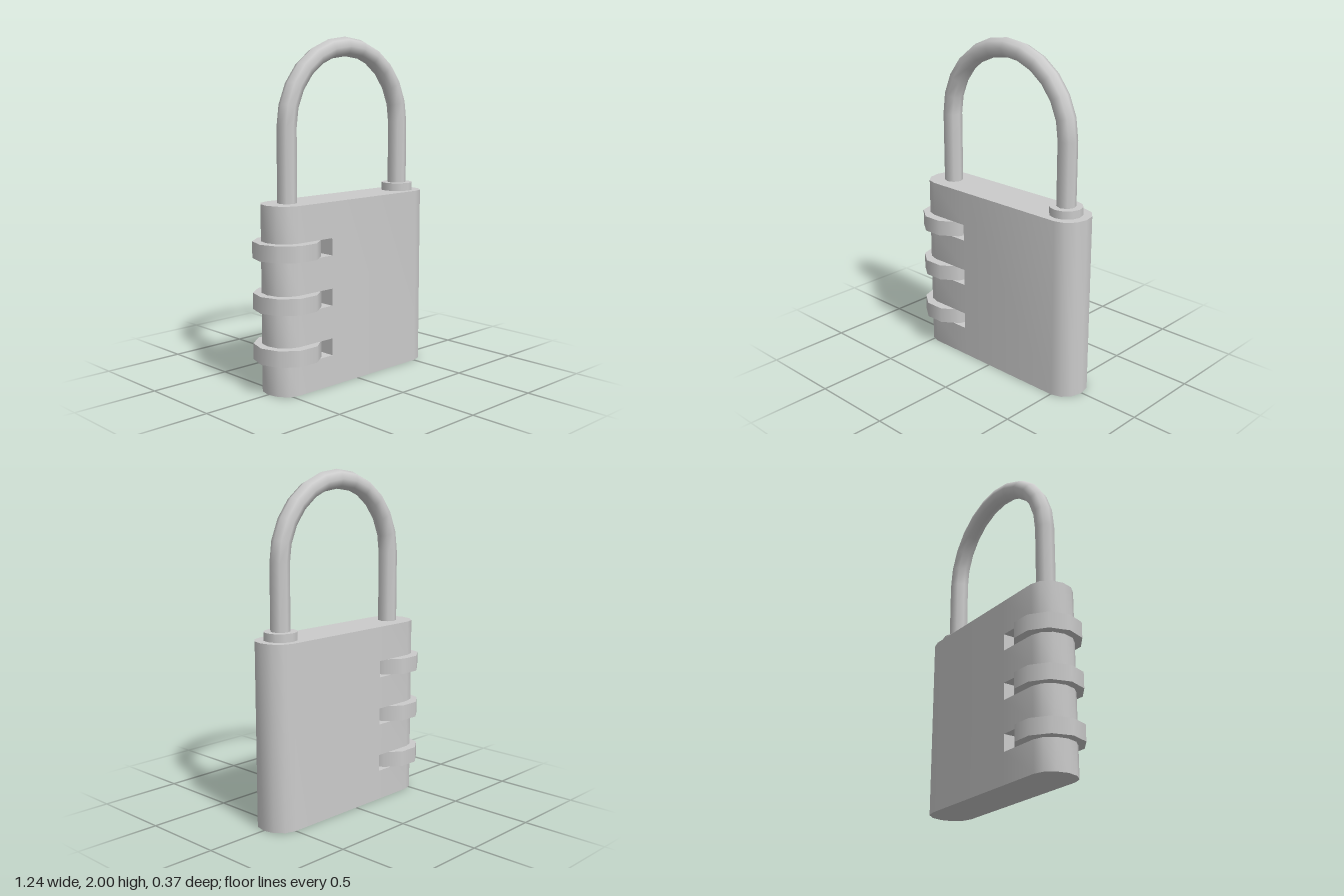
import * as THREE from 'three';
import { toCreasedNormals } from 'three/addons/utils/BufferGeometryUtils.js';

const material = new THREE.MeshStandardMaterial({ color: 0xcccccc });
const BODY_TOP = 1.075, HALF_DEPTH = 0.135;
const DIAL_X = -0.428, DIAL_HEIGHTS = [0.231, 0.524, 0.817];
const SLOT_END = -0.205, SLOT_HALF = 0.05;

function part(name, geometry, x = 0, y = 0, z = 0) {
  const mesh = new THREE.Mesh(geometry, material);
  mesh.name = name;
  mesh.position.set(x, y, z);
  return mesh;
}

// Upright block with one rounded end (end = 1 or -1) and one flat end where the slots stop
function bodyBlock(name, end, centerX, radiusX, bottom, top) {
  const points = [new THREE.Vector2(SLOT_END, HALF_DEPTH * end), new THREE.Vector2(SLOT_END, -HALF_DEPTH * end)];
  for (let i = 0; i <= 6; i++) {
    const a = -Math.PI / 2 + (i * Math.PI) / 6;
    points.push(new THREE.Vector2(centerX + end * radiusX * Math.cos(a), end * HALF_DEPTH * Math.sin(a)));
  }
  const geometry = new THREE.ExtrudeGeometry(new THREE.Shape(points), {
    depth: top - bottom, bevelEnabled: false,
  });
  geometry.rotateX(-Math.PI / 2);
  return part(name, toCreasedNormals(geometry, 0.7), 0, bottom);
}

// Solid main block, with shorter blocks beside it that leave slots for the dials
function createBody() {
  const body = new THREE.Group();
  body.name = 'body';
  body.add(bodyBlock('mainBlock', 1, 0.502, 0.12, 0, BODY_TOP));
  const levels = [0, ...DIAL_HEIGHTS.flatMap(y => [y - SLOT_HALF, y + SLOT_HALF]), BODY_TOP];
  for (let i = 0; i < levels.length; i += 2) {
    body.add(bodyBlock('dialSideBlock', -1, -0.46, 0.115, levels[i], levels[i + 1]));
  }
  return body;
}

// Shackle: an open cylinder bent along leg, half circle, leg
function createShackle() {
  const sides = 8, arcSteps = 12, radius = 0.056;
  const centerX = 0.026, centerY = 1.495, bend = 0.449, footY = 1.04;
  const rows = arcSteps + 2;
  const geometry = new THREE.CylinderGeometry(radius, radius, 1, sides, rows, true);
  const { position, normal } = geometry.attributes;
  for (let i = 0; i < position.count; i++) {
    const row = Math.floor(i / (sides + 1));
    const step = THREE.MathUtils.clamp(row - 1, 0, arcSteps);
    const a = (1 - step / arcSteps) * Math.PI;
    const foot = row === 0 || row === rows;
    const out = position.getX(i) / radius, side = position.getZ(i) / radius;
    const cos = Math.cos(a), sin = Math.sin(a);
    position.setXYZ(i,
      centerX + cos * (bend + radius * out),
      foot ? footY : centerY + sin * (bend + radius * out),
      radius * side);
    normal.setXYZ(i, cos * out, sin * out, side);
  }
  return part('shackle', geometry);
}

export function createModel() {
  const model = new THREE.Group();
  model.name = 'combinationPadlock';
  model.add(createBody(), createShackle());

  // Collar around the shackle's foot
  model.add(part('collar', new THREE.CylinderGeometry(0.096, 0.096, 0.065, 12), 0.475, 1.09));

  // Ten-sided number dials
  for (const y of DIAL_HEIGHTS) {
    const dial = new THREE.CylinderGeometry(0.194, 0.194, 0.094, 10, 1, false, Math.PI / 2);
    model.add(part('dial', dial, DIAL_X, y));
  }
  return model;
}
